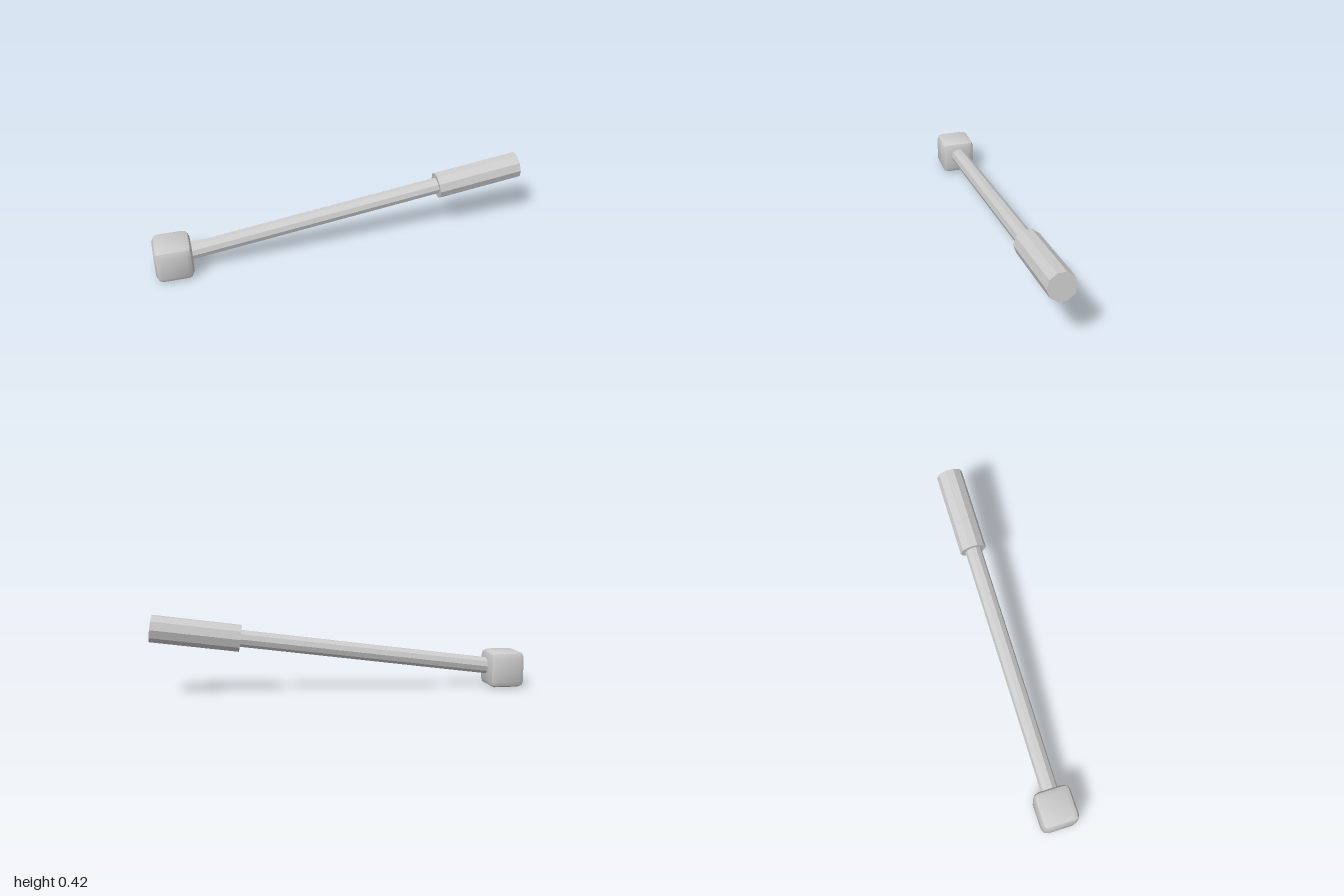
import * as THREE from 'three';
import { toCreasedNormals, mergeVertices } from 'three/addons/utils/BufferGeometryUtils.js';
import { RoundedBoxGeometry } from 'three/addons/geometries/RoundedBoxGeometry.js';

const TILT = Math.atan(0.1335);
const GRIP_END = new THREE.Vector2(0.991, 0.3525);
const AXIS = new THREE.Vector2(Math.cos(TILT), Math.sin(TILT));

export function createModel() {
  const model = new THREE.Group();
  const grey = new THREE.MeshStandardMaterial({ color: 0xcccccc });
  grey.name = 'light grey';

  function add(name, geometry) {
    const mesh = new THREE.Mesh(geometry, grey);
    mesh.name = name;
    model.add(mesh);
    return mesh;
  }

  // Faceted ten-sided rod on the tilted axis, measured back from the grip end
  function addRod(name, radius, from, to) {
    const geometry = toCreasedNormals(new THREE.CylinderGeometry(radius, radius, to - from, 10), 0.4);
    const centre = GRIP_END.clone().addScaledVector(AXIS, -(from + to) / 2);
    const rod = add(name, geometry);
    rod.position.set(centre.x, centre.y, 0);
    rod.rotation.z = TILT - Math.PI / 2;
  }

  // Cube head with bevelled edges, softly shaded across each face
  let cube = new RoundedBoxGeometry(0.196, 0.196, 0.196, 1, 0.033);
  cube.deleteAttribute('normal');
  cube.deleteAttribute('uv');
  cube = toCreasedNormals(mergeVertices(cube, 1e-4), 0.6);
  add('head', cube).position.set(-0.902, 0.098, 0);

  // Slim shaft running from inside the head into the thicker grip
  addRod('shaft', 0.045, 0.4, 1.9);
  addRod('grip', 0.072, 0, 0.461);

  return model;
}
